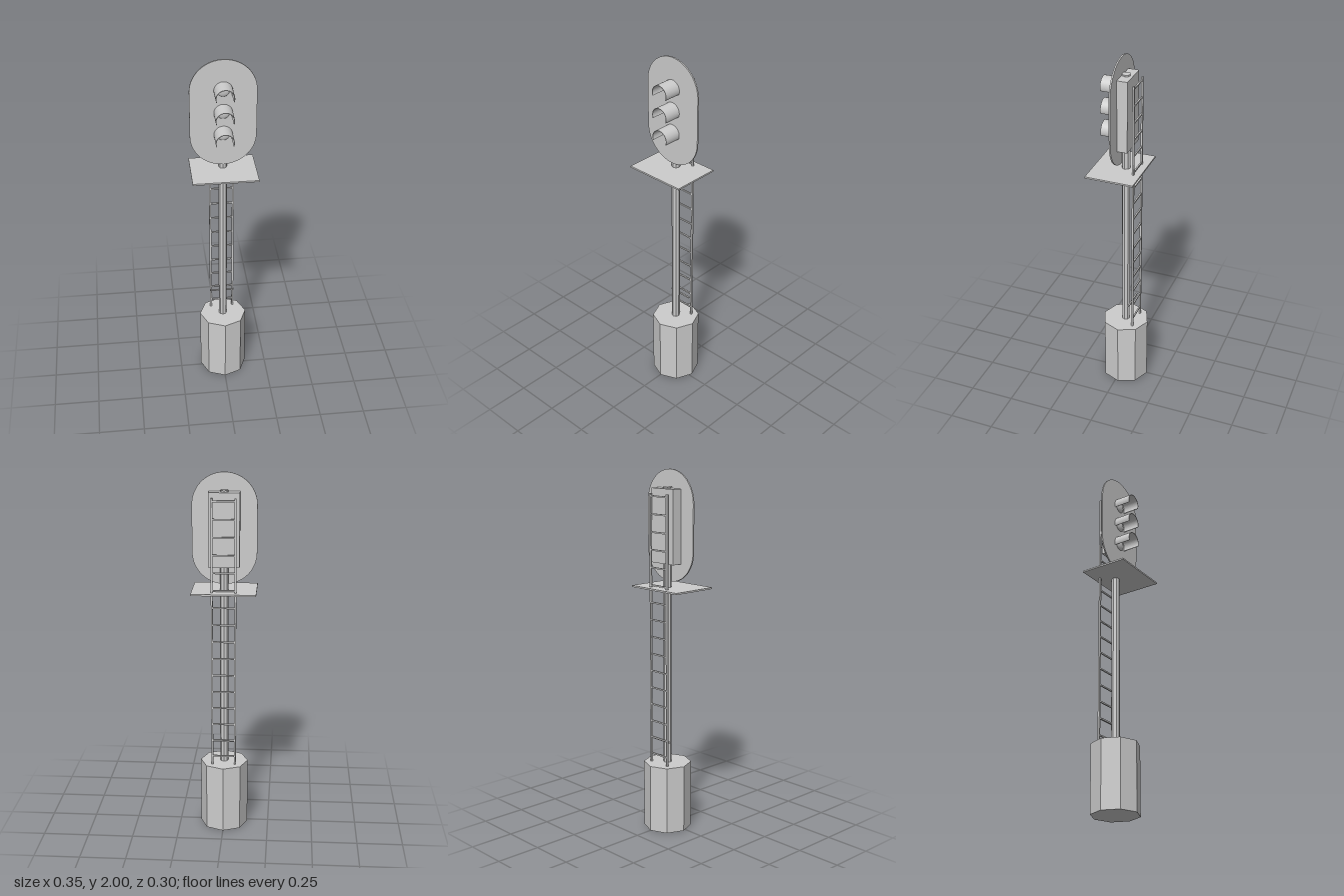
import * as THREE from 'three';

export function createModel() {
  const model = new THREE.Group();
  model.name = 'railwaySignal';
  const grey = new THREE.MeshStandardMaterial({ color: 0xcccccc, flatShading: true });
  grey.name = 'grey';
  const smoothGrey = new THREE.MeshStandardMaterial({ color: 0xcccccc, side: THREE.DoubleSide });
  smoothGrey.name = 'smoothGrey';

  const add = (name, geometry, x, y, z, material = grey, parent = model) => {
    const mesh = new THREE.Mesh(geometry, material);
    mesh.name = name;
    mesh.position.set(x, y, z);
    parent.add(mesh);
    return mesh;
  };
  const box = (name, w, h, d, x, y, z, parent) =>
    add(name, new THREE.BoxGeometry(w, h, d), x, y, z, grey, parent);

  // Octagonal foundation and mast
  const mastZ = -0.018;
  add('foundation', new THREE.CylinderGeometry(0.132, 0.132, 0.38, 8), 0, 0.19, mastZ);
  add('mast', new THREE.CylinderGeometry(0.023, 0.023, 1.528, 8), 0, 1.144, mastZ);

  // Service platform and lamp housing
  box('platform', 0.348, 0.009, 0.268, 0, 1.367, 0.014);
  box('lampHousing', 0.166, 0.398, 0.058, 0, 1.701, -0.026);

  // Rounded backboard
  const r = 0.174;
  const outline = new THREE.Shape();
  outline.absarc(0, 0.126, r, 0, Math.PI, false);
  outline.absarc(0, -0.126, r, Math.PI, Math.PI * 2, false);
  outline.closePath();
  add('backboard', new THREE.ExtrudeGeometry(outline, {
    depth: 0.008, bevelEnabled: false, curveSegments: 20,
  }), 0, 1.7, 0.002);

  // Three lamps: shallow domed lens under an open hood
  const lensGeometry = new THREE.SphereGeometry(0.033, 24, 8, 0, Math.PI * 2, 0, Math.PI / 2);
  lensGeometry.rotateX(Math.PI / 2).scale(1, 1, 0.35);
  const sweep = Math.PI * 1.25;
  const arc = new THREE.Shape();
  arc.absarc(0, 0, 0.049, Math.PI / 2 - sweep / 2, Math.PI / 2 + sweep / 2, false);
  arc.absarc(0, 0, 0.046, Math.PI / 2 + sweep / 2, Math.PI / 2 - sweep / 2, true);
  const hoodGeometry = new THREE.ExtrudeGeometry(arc, {
    depth: 0.097, bevelEnabled: false, curveSegments: 20,
  });
  [1.578, 1.704, 1.83].forEach((y, i) => {
    const lamp = new THREE.Group();
    lamp.name = `lamp${i + 1}`;
    lamp.position.set(0, y, 0.01);
    model.add(lamp);
    add('lens', lensGeometry, 0, 0, 0, smoothGrey, lamp);
    add('hood', hoodGeometry, 0, 0, 0, grey, lamp);
  });

  // Ladder behind the mast
  const ladder = new THREE.Group();
  ladder.name = 'ladder';
  model.add(ladder);
  for (const side of [-1, 1]) {
    box('rail', 0.01, 1.5, 0.01, side * 0.063, 1.125, -0.081, ladder);
  }
  for (let i = 0; i < 16; i++) {
    box('rung', 0.12, 0.008, 0.008, 0, 0.43 + i * 0.0953, -0.081, ladder);
  }
  box('ladderBracket', 0.136, 0.008, 0.008, 0, 0.512, -0.058, ladder);

  return model;
}
